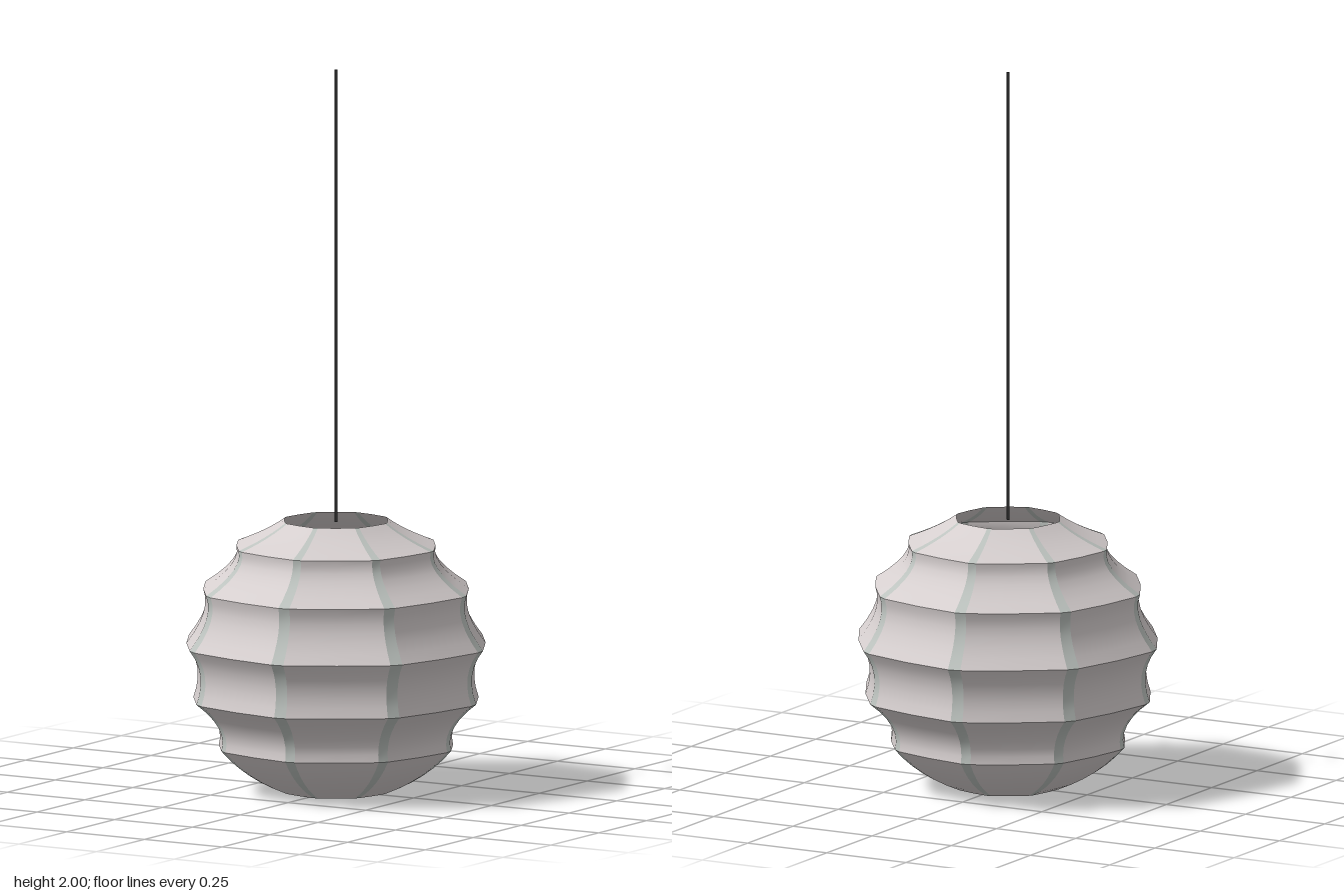
import * as THREE from 'three';
import { mergeGeometries, toCreasedNormals } from 'three/addons/utils/BufferGeometryUtils.js';

const SIDES = 8;
const STEP = 360 / SIDES;
const FIRST = -9.5;   // heading of the first rib, degrees clockwise from the back
const HALF_RIB = 2.4; // half the angle a rib covers

// Ridges of the shade [radius, height] from bottom to top, and the control
// point of the pleat that hangs between each pair of ridges
const RIDGES = [[0.148, 0], [0.335, 0.127], [0.408, 0.26], [0.428, 0.41], [0.38, 0.56], [0.285, 0.68], [0.148, 0.75]];
const PLEATS = [[0.267, 0.047], [0.315, 0.19], [0.375, 0.345], [0.355, 0.5], [0.27, 0.63], [0.2, 0.712]];

function shadeProfile() {
  const points = [];
  PLEATS.forEach((c, i) => {
    const curve = new THREE.QuadraticBezierCurve(
      new THREE.Vector2(...RIDGES[i]), new THREE.Vector2(...c), new THREE.Vector2(...RIDGES[i + 1]));
    points.push(...curve.getPoints(6).slice(i ? 1 : 0));
  });
  return points;
}

// Sweeps the profile through a few headings: columns of [degrees, radius scale]
function gore(profile, columns) {
  const positions = [];
  const index = [];
  for (const [degrees, scale] of columns) {
    const a = THREE.MathUtils.degToRad(degrees);
    for (const p of profile) positions.push(p.x * scale * Math.sin(a), p.y, -p.x * scale * Math.cos(a));
  }
  const n = profile.length;
  for (let i = 0; i < columns.length - 1; i++) {
    for (let j = 0; j < n - 1; j++) {
      const a = i * n + j;
      const b = a + n;
      index.push(b, a, a + 1, b, a + 1, b + 1);
    }
  }
  const geometry = new THREE.BufferGeometry();
  geometry.setAttribute('position', new THREE.Float32BufferAttribute(positions, 3));
  geometry.setIndex(index);
  return geometry;
}

function part(name, geometry, color) {
  const material = new THREE.MeshStandardMaterial({ color, side: THREE.DoubleSide });
  const mesh = new THREE.Mesh(geometry, material);
  mesh.name = name;
  return mesh;
}

export function createModel() {
  const group = new THREE.Group();
  group.name = 'pendantLantern';

  // Pleated panels, each bowed slightly at its middle, and the ribs between
  const profile = shadeProfile();
  const panels = [];
  const ribs = [];
  for (let k = 0; k < SIDES; k++) {
    const c = FIRST + k * STEP;
    panels.push(gore(profile, [[c + HALF_RIB, 1], [c + STEP / 2, 0.958], [c + STEP - HALF_RIB, 1]]));
    ribs.push(gore(profile, [[c - HALF_RIB, 1], [c + HALF_RIB, 1]]));
  }
  group.add(part('shadePanels', toCreasedNormals(mergeGeometries(panels), 0.6), 0xd6cfcf));
  group.add(part('shadeRibs', toCreasedNormals(mergeGeometries(ribs), 0.6), 0xbcc2be));

  // Hanging cord, ending at the upper opening
  const cord = part('cord', new THREE.CylinderGeometry(0.005, 0.005, 1.255, 4), 0x333333);
  cord.position.y = 2 - 1.255 / 2;
  group.add(cord);

  return group;
}
